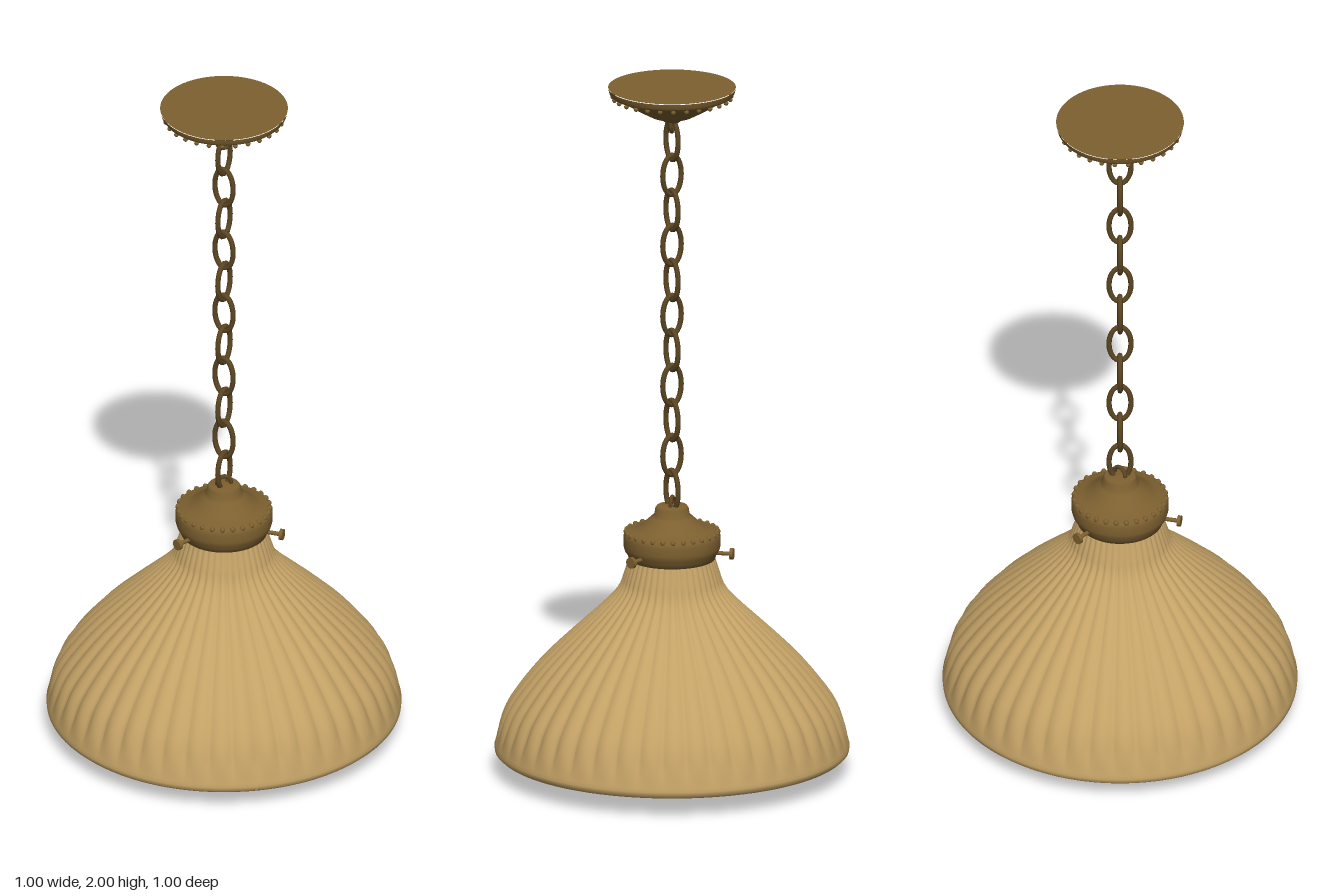
import * as THREE from 'three';
import { mergeGeometries } from 'three/addons/utils/BufferGeometryUtils.js';

const paint = (color) => new THREE.MeshStandardMaterial({ color });
const vec = ([x, y]) => new THREE.Vector2(x, y);
const brass = paint(0x7d6030), dark = paint(0x5c4622), cream = paint(0xc4a266);

function part(name, geometry, material) {
  const mesh = new THREE.Mesh(geometry, material);
  mesh.name = name;
  return mesh;
}

const turned = (name, profile, material, sides = 48) =>
  part(name, new THREE.LatheGeometry(profile.map(vec), sides), material);

// Ring of small beads around the y axis
function beadRing(name, count, radius, y, size) {
  const beads = [];
  for (let i = 0; i < count; i++) {
    const a = (i / count) * Math.PI * 2;
    beads.push(new THREE.SphereGeometry(size, 8, 6)
      .translate(Math.sin(a) * radius, y, Math.cos(a) * radius));
  }
  return part(name, mergeGeometries(beads), brass);
}

// Oval wire link, centred at the origin in the xy plane
function linkGeometry(halfWidth, halfHeight, wire) {
  const points = [];
  for (let i = 0; i < 16; i++) {
    const a = (i / 16) * Math.PI * 2;
    points.push(new THREE.Vector3(Math.cos(a) * halfWidth, Math.sin(a) * halfHeight, 0));
  }
  return new THREE.TubeGeometry(new THREE.CatmullRomCurve3(points, true), 28, wire, 8, true);
}

// Fluted bell shade: smooth inside, scalloped outside
function shadeGeometry() {
  const ribs = 44, steps = 8;
  const outer = new THREE.SplineCurve([
    [0.497, 0.085], [0.482, 0.15], [0.45, 0.215], [0.375, 0.31], [0.285, 0.40],
    [0.195, 0.485], [0.152, 0.535], [0.135, 0.58], [0.118, 0.635],
  ].map(vec)).getPoints(22);
  const inner = outer.map((p) => new THREE.Vector2(p.x - 0.024, p.y)).reverse();
  const rim = [[0.474, 0.062], [0.479, 0.056], [0.49, 0.056], [0.499, 0.064], [0.5, 0.075]].map(vec);
  const profile = [...inner, ...rim, ...outer];
  const geo = new THREE.LatheGeometry(profile, ribs * steps);
  const pos = geo.attributes.position, n = profile.length;
  const firstOuter = inner.length + rim.length;
  for (let k = 0; k < pos.count; k++) {
    const j = k % n, i = Math.floor(k / n);
    if (j < firstOuter) continue;
    const p = profile[j];
    const fade = THREE.MathUtils.smoothstep(p.y, 0.085, 0.16);
    const depth = fade * (p.y > 0.55 ? 0.003 : 0.004 + 0.016 * p.x);
    const wave = 1 - Math.abs(Math.sin((i / steps) * Math.PI));
    const s = (p.x - depth * wave) / p.x;
    pos.setX(k, pos.getX(k) * s);
    pos.setZ(k, pos.getZ(k) * s);
  }
  geo.computeVertexNormals();
  return geo;
}

export function createModel() {
  const model = new THREE.Group();
  model.name = 'pendantLamp';

  // Ceiling canopy
  model.add(turned('canopy', [
    [0, 1.893], [0.018, 1.896], [0.03, 1.905], [0.06, 1.916], [0.1, 1.938], [0.135, 1.96],
    [0.158, 1.972], [0.172, 1.978], [0.177, 1.985], [0.18, 1.998],
  ], brass, 64));
  const top = part('canopyTop', new THREE.CircleGeometry(0.18, 64), brass);
  top.rotation.x = -Math.PI / 2;
  top.position.y = 2;
  model.add(top, beadRing('canopyBeads', 28, 0.167, 1.972, 0.007));

  // Hanging chain, links set diagonally and alternating
  const chain = new THREE.Group();
  chain.name = 'chain';
  const links = 11, pitch = 0.1025;
  const linkGeo = linkGeometry(0.031, 0.058, 0.0075);
  for (let i = 0; i < links; i++) {
    const link = part('chainLink', linkGeo, dark);
    link.position.y = 1.845 - i * pitch;
    link.rotation.y = (i % 2 ? -1 : 1) * Math.PI / 4;
    chain.add(link);
  }
  const loopGeo = linkGeometry(0.02, 0.022, 0.006);
  for (const y of [1.892, 0.778]) {
    const loop = part('endLoop', loopGeo, dark);
    loop.position.y = y;
    chain.add(loop);
  }
  model.add(chain);

  // Fitter cap holding the shade
  model.add(turned('fitter', [
    [0.108, 0.64], [0.11, 0.622], [0.122, 0.622], [0.125, 0.634], [0.133, 0.645],
    [0.137, 0.66], [0.137, 0.685], [0.134, 0.697], [0.126, 0.703], [0.108, 0.705],
    [0.09, 0.714], [0.072, 0.73], [0.058, 0.743], [0.05, 0.75], [0.047, 0.768],
    [0.042, 0.775], [0, 0.777],
  ], brass));
  model.add(beadRing('fitterBeads', 28, 0.129, 0.699, 0.008));

  // Three thumb screws clamping the shade
  for (const angle of [Math.PI, Math.PI / 3, -Math.PI / 3]) {
    const screw = new THREE.Group();
    screw.name = 'thumbScrew';
    const shank = part('screwShank', new THREE.CylinderGeometry(0.006, 0.006, 0.07, 10), brass);
    const head = part('screwHead', new THREE.CylinderGeometry(0.016, 0.016, 0.01, 14), brass);
    shank.rotation.x = head.rotation.x = Math.PI / 2;
    shank.position.z = 0.138;
    head.position.z = 0.172;
    screw.add(shank, head);
    screw.position.y = 0.643;
    screw.rotation.y = angle;
    model.add(screw);
  }

  model.add(part('shade', shadeGeometry(), cream));

  // Bulb and its socket
  const bulb = new THREE.SplineCurve([
    [0, 0], [0.045, 0.01], [0.085, 0.04], [0.106, 0.085], [0.106, 0.13], [0.088, 0.185],
    [0.06, 0.24], [0.042, 0.29], [0.036, 0.34], [0.036, 0.4],
  ].map(vec)).getPoints(32);
  bulb[0].x = 0;
  model.add(part('bulb', new THREE.LatheGeometry(bulb, 40), cream));
  model.add(turned('socket', [
    [0, 0.385], [0.044, 0.386], [0.047, 0.392], [0.047, 0.53], [0.06, 0.56], [0.06, 0.65], [0, 0.651],
  ], brass, 32));

  return model;
}
